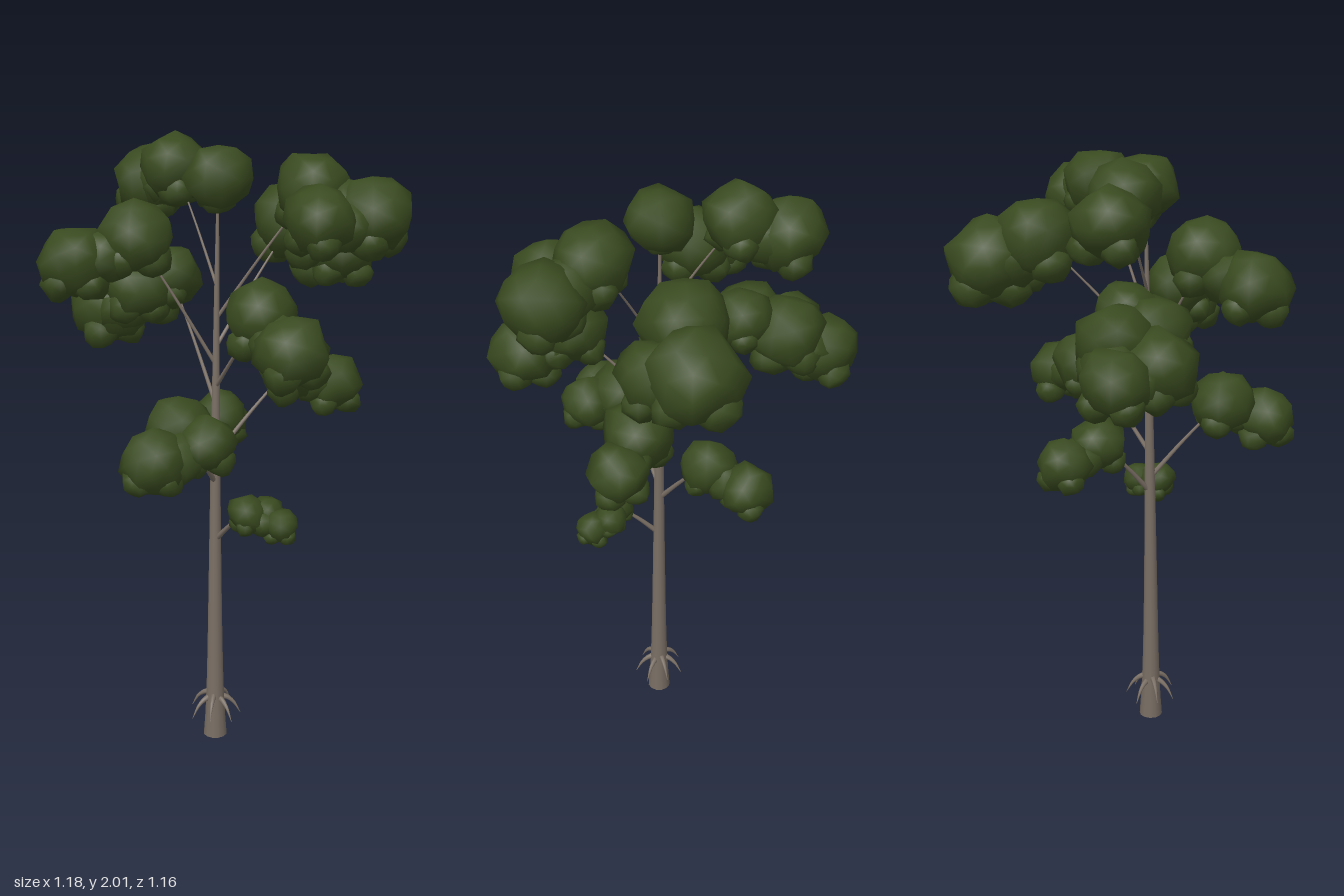
import * as THREE from 'three';
import { mergeVertices } from 'three/addons/utils/BufferGeometryUtils.js';

const bark = new THREE.MeshStandardMaterial({ color: 0x7b7066 });
bark.name = 'bark';
const leaf = new THREE.MeshStandardMaterial({ color: 0x394a1f });
leaf.name = 'leaf green';

// Seeded random numbers
let seed = 7;
const rand = () => {
  seed = (seed * 16807) % 2147483647;
  return seed / 2147483647;
};

// Slightly leaning trunk axis
const axis = (y) => new THREE.Vector3(0.066 - 0.008 * y, y, 0.108 - 0.006 * y - 0.006 * y * y);

// Round limb swept along a curve, with a radius given by a function of t
function limb(name, curve, radiusAt, segments, sides) {
  const geo = new THREE.TubeGeometry(curve, segments, 1, sides, false);
  const pos = geo.attributes.position;
  const v = new THREE.Vector3();
  for (let i = 0; i <= segments; i++) {
    const centre = curve.getPointAt(i / segments);
    for (let j = 0; j <= sides; j++) {
      const k = i * (sides + 1) + j;
      v.fromBufferAttribute(pos, k).sub(centre).multiplyScalar(radiusAt(i / segments)).add(centre);
      pos.setXYZ(k, v.x, v.y, v.z);
    }
  }
  const mesh = new THREE.Mesh(geo, bark);
  mesh.name = name;
  return mesh;
}

// Lumpy leaf mass with smooth normals
function leafMass(name, centre, r) {
  let geo = new THREE.IcosahedronGeometry(1, 1);
  geo.deleteAttribute('normal');
  geo.deleteAttribute('uv');
  geo = mergeVertices(geo);
  const pos = geo.attributes.position;
  for (let i = 0; i < pos.count; i++) {
    const s = r * (0.89 + 0.24 * rand());
    pos.setXYZ(i, pos.getX(i) * s, pos.getY(i) * s * 0.94, pos.getZ(i) * s);
  }
  geo.rotateY(rand() * 6.28);
  geo.computeVertexNormals();
  const mesh = new THREE.Mesh(geo, leaf);
  mesh.position.copy(centre);
  mesh.name = name;
  return mesh;
}

// Bough: a branch from the trunk at a height, bearing leaf masses [x, y, z, radius]
function bough(name, from, ...masses) {
  const group = new THREE.Group();
  group.name = name + 'Bough';
  const centres = masses.map(([x, y, z]) => new THREE.Vector3(x, y, z));
  const start = axis(from);
  const tip = centres[0];
  const middle = start.clone().lerp(tip, 0.5);
  middle.y += 0.008;
  const base = 0.01 - 0.0055 * (from - 0.7);
  const curve = new THREE.CatmullRomCurve3([start, middle, tip]);
  group.add(limb('branch', curve, (t) => base * (1 - 0.65 * t), 8, 6));

  centres.forEach((centre, i) => {
    const r = masses[i][3];
    // Small lobes hanging under each mass
    const turn = rand() * Math.PI * 2;
    for (let k = 0; k < 3; k++) {
      const a = turn + (k * Math.PI * 2) / 3;
      const hang = new THREE.Vector3(Math.cos(a) * 0.5, -0.5 - 0.15 * rand(), Math.sin(a) * 0.5);
      group.add(leafMass('hangingLobe', hang.multiplyScalar(r).add(centre), r * 0.5));
    }
    group.add(leafMass('leafMass', centre, r));
    if (i === 0) return;
    // Twig from the branch tip, and a lobe filling the gap to the mass before
    group.add(limb('twig', new THREE.LineCurve3(tip, centre), () => base * 0.35, 1, 5));
    const gap = centre.clone().lerp(centres[i - 1], 0.5);
    gap.y -= r * 0.2;
    group.add(leafMass('fillingLobe', gap, r * 0.8));
  });
  return group;
}

export function createModel() {
  const tree = new THREE.Group();
  tree.name = 'tree';

  // Trunk, flared at the foot and thin at the top
  const trunkCurve = new THREE.CatmullRomCurve3([0, 0.3, 0.6, 0.9, 1.2, 1.5, 1.85].map(axis));
  tree.add(limb('trunk', trunkCurve, (t) => 0.026 * (1 - t) + 0.004 + 0.01 * Math.exp(-t * 14), 24, 12));
  const foot = new THREE.Mesh(new THREE.CircleGeometry(0.04, 12), bark);
  foot.rotation.x = Math.PI / 2;
  foot.position.copy(axis(0));
  foot.name = 'trunkFoot';
  tree.add(foot);

  // Curved spurs arching out of the lower trunk
  for (let i = 0; i < 7; i++) {
    const a = (i / 7) * Math.PI * 2 + 0.1;
    const y = 0.145 + 0.012 * (i % 2);
    const points = [[0.015, 0], [0.042, -0.01], [0.064, -0.03], [0.086, -0.07]].map(([r, dy]) =>
      axis(y).add(new THREE.Vector3(Math.cos(a) * r, dy, Math.sin(a) * r)));
    tree.add(limb('rootSpur', new THREE.CatmullRomCurve3(points), (t) => 0.011 * (1 - t) + 0.0005, 7, 6));
  }

  // Crown at the top of the trunk
  tree.add(leafMass('crown', axis(1.885), 0.105));
  tree.add(leafMass('crownLobe', axis(1.83), 0.06));

  // Boughs from the lowest to the highest
  tree.add(
    bough('lowTwig', 0.71, [0.21, 0.845, 0.11, 0.064], [0.3, 0.81, 0.05, 0.056], [0.24, 0.84, 0.05, 0.055]),
    bough('backRightLow', 0.86, [-0.07, 1.075, -0.06, 0.09], [-0.17, 1.035, -0.16, 0.088]),
    bough('frontLow', 0.91, [0.13, 1.16, 0.33, 0.107], [0.25, 1.14, 0.33, 0.092], [0.17, 1.1, 0.475, 0.1]),
    bough('backLeftLow', 1.0, [0.18, 1.28, -0.13, 0.11], [0.26, 1.22, -0.24, 0.095]),
    bough('rightMiddle', 1.17, [-0.2, 1.55, 0.04, 0.1], [-0.25, 1.51, 0.14, 0.108], [-0.38, 1.43, 0.15, 0.122],
      [-0.475, 1.41, 0.03, 0.112], [-0.34, 1.49, 0.01, 0.12]),
    bough('leftMiddle', 1.23, [0.32, 1.51, 0.17, 0.113], [0.465, 1.435, 0.2, 0.112]),
    bough('frontHigh', 1.3, [-0.11, 1.71, 0.275, 0.118], [-0.22, 1.64, 0.42, 0.112]),
    bough('backHigh', 1.36, [0.06, 1.72, -0.265, 0.138], [0.075, 1.64, -0.43, 0.143], [0.175, 1.62, -0.37, 0.11]),
    bough('leftHigh', 1.45, [0.29, 1.86, -0.09, 0.118], [0.45, 1.785, -0.17, 0.122], [0.4, 1.785, 0.01, 0.108]),
    bough('rightHigh', 1.55, [-0.185, 1.89, 0.025, 0.113], [-0.325, 1.835, 0.0, 0.118]),
  );
  return tree;
}
